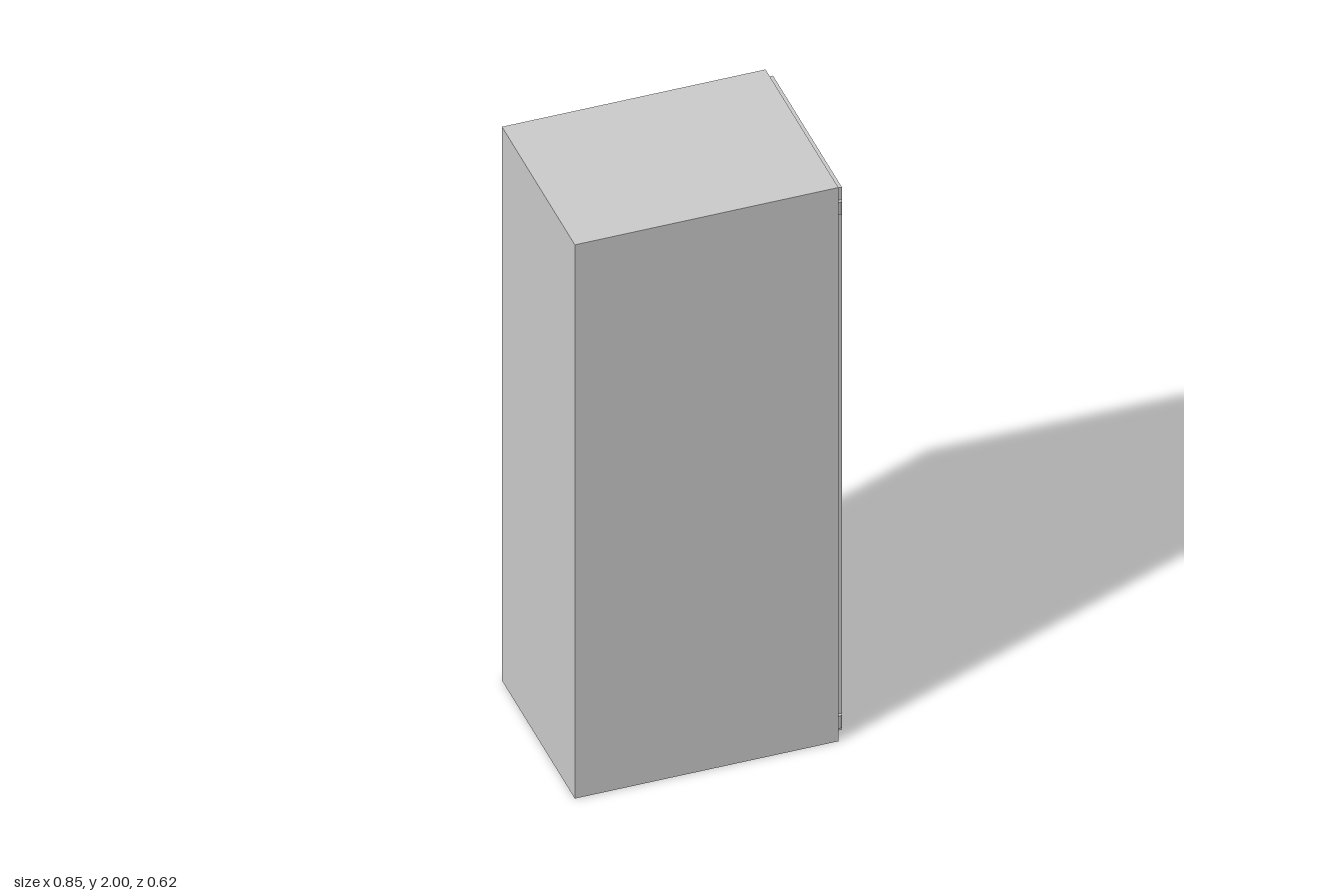
import * as THREE from 'three';

const material = new THREE.MeshStandardMaterial({ color: 0xcccccc, flatShading: true });

function add(parent, name, geometry, x = 0, y = 0, z = 0) {
  const mesh = new THREE.Mesh(geometry, material);
  mesh.name = name;
  mesh.position.set(x, y, z);
  parent.add(mesh);
  return mesh;
}

// Box given by its limits along each axis
function panel(parent, name, [x0, x1], [y0, y1], [z0, z1]) {
  return add(parent, name, new THREE.BoxGeometry(x1 - x0, y1 - y0, z1 - z0),
    (x0 + x1) / 2, (y0 + y1) / 2, (z0 + z1) / 2);
}

export function createModel() {
  const locker = new THREE.Group();
  locker.name = 'locker';

  const back = -0.425, rim = 0.391, face = 0.408, half = 0.308, height = 2, wall = 0.04;

  // Cabinet: hollow shell, open towards the door
  const cabinet = new THREE.Group();
  cabinet.name = 'cabinet';
  locker.add(cabinet);
  panel(cabinet, 'backPanel', [back, back + wall], [wall, height - wall], [-half + wall, half - wall]);
  panel(cabinet, 'topPanel', [back, rim], [height - wall, height], [-half, half]);
  panel(cabinet, 'bottomPanel', [back, rim], [0, wall], [-half, half]);
  for (const s of [-1, 1]) {
    const a = s * half, b = s * (half - wall);
    panel(cabinet, s > 0 ? 'frontPanel' : 'rearPanel', [back, rim],
      [wall, height - wall], [Math.min(a, b), Math.max(a, b)]);
  }

  // Door standing proud of the rim
  const door = new THREE.Group();
  door.name = 'door';
  locker.add(door);
  panel(door, 'doorPanel', [rim, face], [0.025, 1.985], [-0.291, 0.29]);

  // Vent louvres: wedge profile extruded across the door
  const width = 0.316;
  const wedge = new THREE.Shape([
    new THREE.Vector2(face - 0.004, 0.135), new THREE.Vector2(face - 0.004, 0),
    new THREE.Vector2(face, 0), new THREE.Vector2(0.425, 0.035), new THREE.Vector2(face, 0.135),
  ]);
  const louvre = new THREE.ExtrudeGeometry(wedge, { depth: width, bevelEnabled: false });
  for (let i = 0; i < 3; i++) add(door, 'louvre', louvre, 0, 1.656 - i * 0.165, -width / 2);

  // Hinges: small knuckles with a rounded outer corner
  const knuckle = new THREE.Shape();
  knuckle.moveTo(rim, -0.302);
  knuckle.lineTo(0.396, -0.302);
  knuckle.quadraticCurveTo(face, -0.302, face, -0.289);
  knuckle.lineTo(rim, -0.289);
  const hinge = new THREE.ExtrudeGeometry(knuckle, { depth: 0.045, bevelEnabled: false, curveSegments: 5 });
  hinge.rotateX(-Math.PI / 2);
  for (const y of [0.04, 1.895]) add(locker, 'hinge', hinge, 0, y, 0);

  return locker;
}
